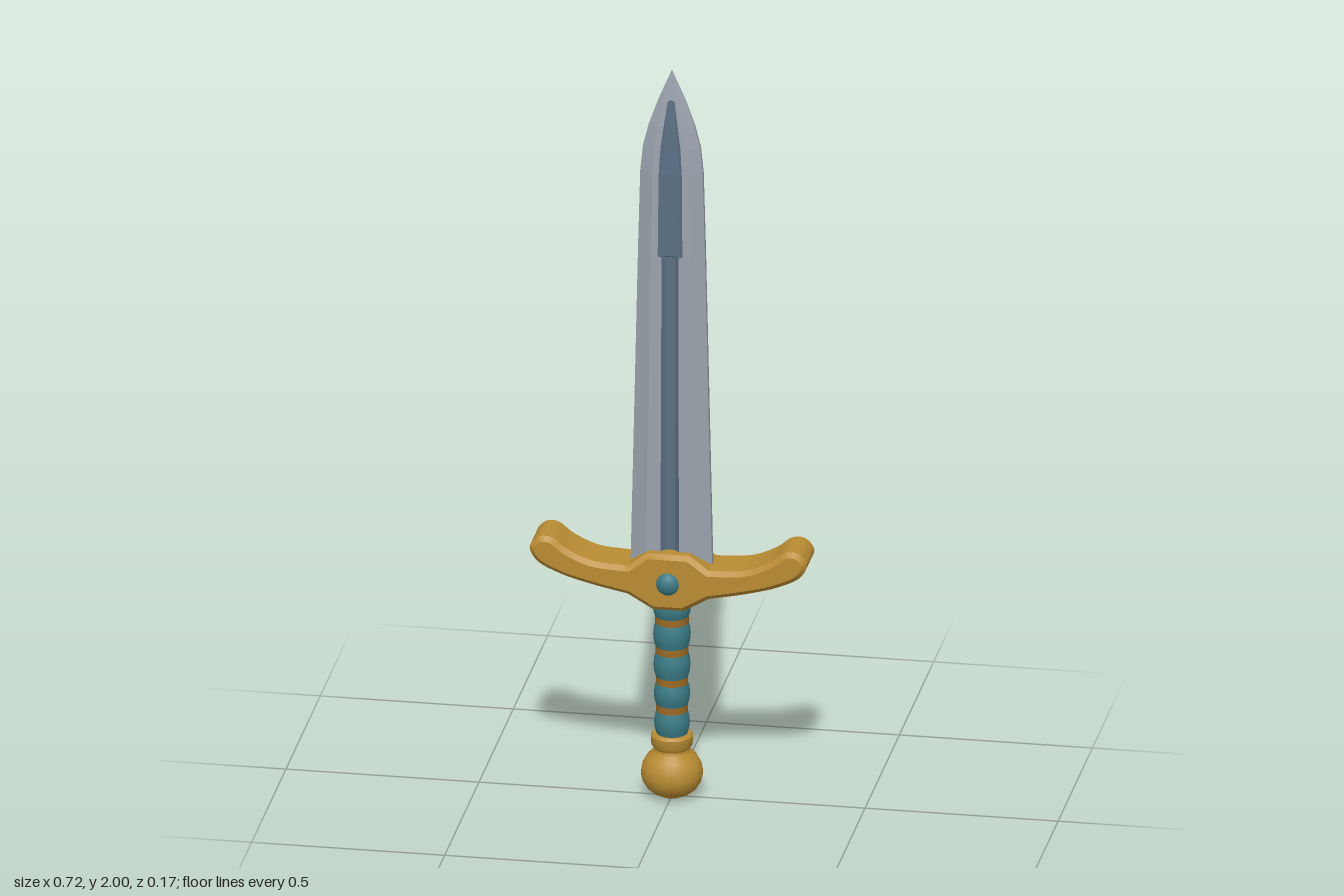
import * as THREE from 'three';
import { toCreasedNormals } from 'three/addons/utils/BufferGeometryUtils.js';

const mat = (name, color) => {
  const m = new THREE.MeshStandardMaterial({ color });
  m.name = name;
  return m;
};

// Blade lofted through sections; the fuller strip goes into a second material group
function bladeGeometry() {
  // y, half width, half thickness, fuller half width, floor half width, depth
  const stations = [
    [0.62, 0.106, 0.035, 0.024, 0.012, 0.013],
    [1.49, 0.087, 0.029, 0.022, 0.012, 0.011],
    [1.495, 0.087, 0.029, 0.032, 0.024, 0.003],
    [1.72, 0.081, 0.026, 0.03, 0.022, 0.003],
    [1.79, 0.074, 0.023, 0.026, 0.018, 0.003],
    [1.85, 0.059, 0.019, 0.018, 0.012, 0.002],
    [1.915, 0.036, 0.012, 0.009, 0.006, 0.001],
    [1.92, 0.034, 0.0115, 0, 0, 0],
    [2, 0, 0, 0, 0, 0],
  ];
  const rings = stations.map(([y, w, t, r, f, d]) => {
    const half = [[w, t * 0.28], [w * 0.58, t], [r, t], [f, t - d],
      [-f, t - d], [-r, t], [-w * 0.58, t], [-w, t * 0.28]];
    return [...half, ...half.map(([x, z]) => [-x, -z])].map(([x, z]) => new THREE.Vector3(x, y, z));
  });
  const steel = [], dark = [];
  for (let s = 0; s < rings.length - 1; s++) {
    const a = rings[s], b = rings[s + 1], n = a.length;
    for (let i = 0; i < n; i++) {
      const j = (i + 1) % n, k = i % 8;
      const out = k >= 2 && k <= 4 && s < 7 ? dark : steel;
      for (const tri of [[a[i], b[i], b[j]], [a[i], b[j], a[j]]]) {
        const area = new THREE.Triangle(...tri).getArea();
        if (area > 1e-9) tri.forEach((p) => out.push(p.x, p.y, p.z));
      }
    }
  }
  const g = new THREE.BufferGeometry();
  g.setAttribute('position', new THREE.Float32BufferAttribute([...steel, ...dark], 3));
  g.addGroup(0, steel.length / 3, 0);
  g.addGroup(steel.length / 3, dark.length / 3, 1);
  g.computeVertexNormals();
  return g;
}

// Crossguard outline: one half is drawn, then mirrored
function guardGeometry() {
  const arm = new THREE.CatmullRomCurve3([
    [0.105, 0.647], [0.2, 0.655], [0.265, 0.683], [0.303, 0.711], [0.335, 0.711], [0.359, 0.682],
    [0.342, 0.646], [0.285, 0.615], [0.2, 0.59], [0.105, 0.57],
  ].map(([x, y]) => new THREE.Vector3(x, y, 0))).getPoints(44);
  const half = [new THREE.Vector2(0.055, 0.685), ...arm.map((p) => new THREE.Vector2(p.x, p.y)),
    new THREE.Vector2(0.04, 0.532)];
  const mirrored = half.map((p) => new THREE.Vector2(-p.x, p.y)).reverse();
  const bevel = 0.012;
  const g = new THREE.ExtrudeGeometry(new THREE.Shape([...half, ...mirrored]), {
    depth: 0.132 - 2 * bevel, bevelSize: bevel, bevelThickness: bevel, bevelOffset: -bevel, bevelSegments: 1,
  });
  g.translate(0, 0, bevel - 0.066);
  return toCreasedNormals(g, 0.5);
}

const lathe = (points, segments) => toCreasedNormals(
  new THREE.LatheGeometry(points.map(([r, y]) => new THREE.Vector2(r, y)), segments), 0.6);

export function createModel() {
  const group = new THREE.Group();
  const steel = mat('steel', 0x9ba3ad);
  const darkSteel = mat('dark steel', 0x5a6e82);
  const gold = mat('gold', 0xb98c33);
  const teal = mat('teal', 0x3a7a85);
  const bronze = mat('bronze', 0x9a6a26);
  const add = (name, geometry, material) => {
    const mesh = new THREE.Mesh(geometry, material);
    mesh.name = name;
    group.add(mesh);
    return mesh;
  };

  add('blade', bladeGeometry(), [steel, darkSteel]);
  add('crossguard', guardGeometry(), gold);

  // Gem set into each face of the guard
  for (const side of [1, -1]) {
    const gem = add(side > 0 ? 'frontGem' : 'backGem', new THREE.SphereGeometry(0.031, 14, 10), teal);
    gem.scale.z = 0.75;
    gem.position.set(0, 0.607, side * 0.061);
  }

  // Grip swells between recessed binding rings
  const ringHeights = [0.245, 0.322, 0.405, 0.488];
  const stops = [0.165, ...ringHeights, 0.56];
  for (let i = 0; i < stops.length - 1; i++) {
    const lo = stops[i] + 0.009, hi = stops[i + 1] - 0.009, r = 0.04 + i * 0.0008;
    const profile = [0, 0.25, 0.5, 0.75, 1].map((u) => [r + 0.006 * Math.sin(Math.PI * u), lo + (hi - lo) * u]);
    add('gripSection', lathe(profile, 20), teal);
  }
  ringHeights.forEach((y, i) => {
    const ring = add('gripRing', new THREE.CylinderGeometry(0.041 + i * 0.0008, 0.041 + i * 0.0008, 0.019, 20), bronze);
    ring.position.y = y;
  });

  // Pommel with collar
  add('pommel', lathe([
    [0, 0], [0.028, 0.002], [0.05, 0.013], [0.064, 0.025], [0.075, 0.043], [0.08, 0.064], [0.076, 0.088],
    [0.065, 0.109], [0.048, 0.125], [0.046, 0.133], [0.053, 0.144], [0.054, 0.168], [0.049, 0.174], [0, 0.174],
  ], 24), gold);
  return group;
}
